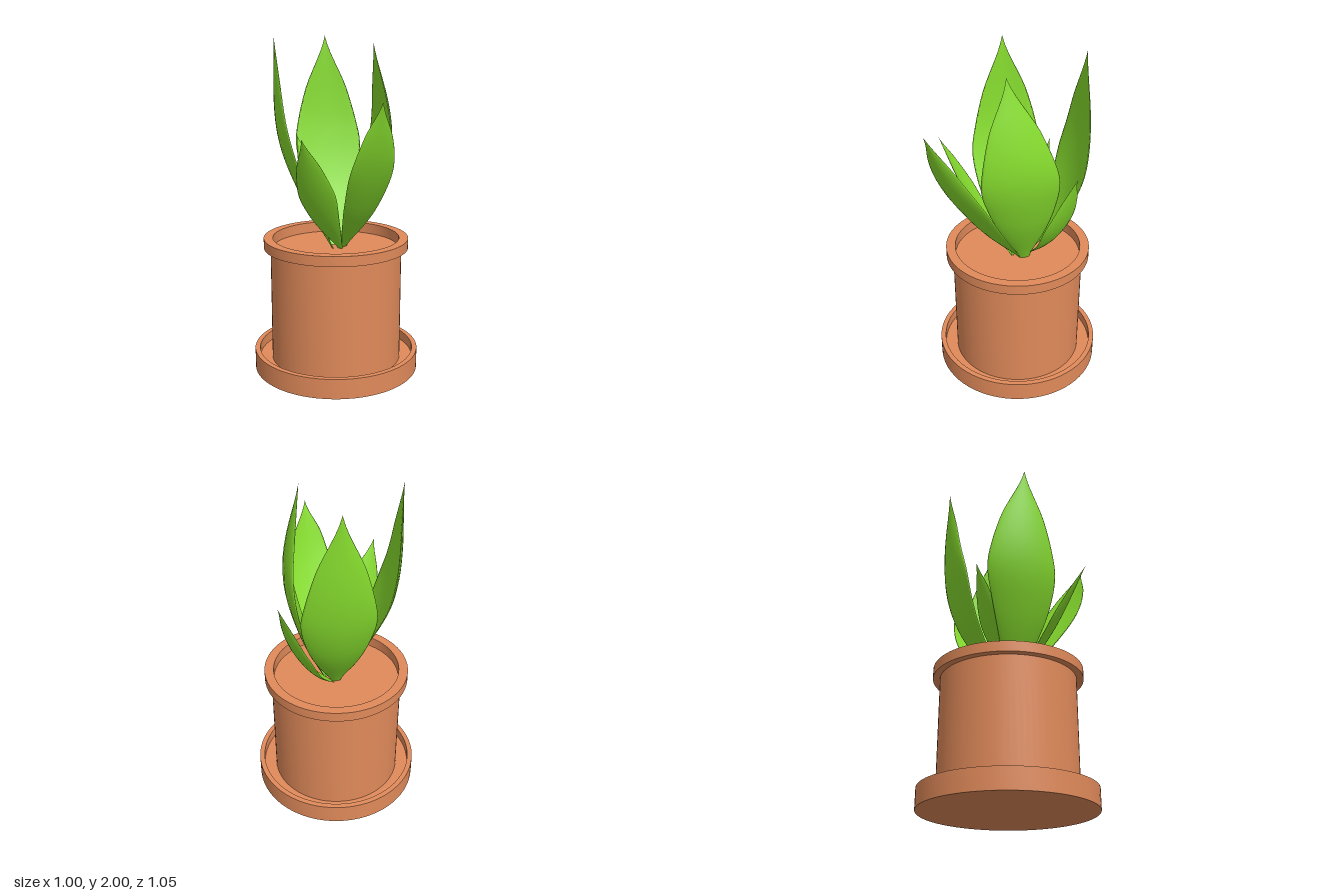
import * as THREE from 'three';
import { toCreasedNormals } from 'three/addons/utils/BufferGeometryUtils.js';

const clay = new THREE.MeshStandardMaterial({ color: 0xe08a5a });
const green = new THREE.MeshStandardMaterial({ color: 0x86dc2e, side: THREE.DoubleSide });

// Turned part from a [radius, height] profile, with crisp rims
function turned(name, profile) {
  const points = profile.map(([r, y]) => new THREE.Vector2(r, y));
  const geometry = toCreasedNormals(new THREE.LatheGeometry(points, 72), 0.6);
  const mesh = new THREE.Mesh(geometry, clay);
  mesh.name = name;
  mesh.position.z = -0.025;
  return mesh;
}

// Relative half-width of a leaf from base to tip
const outline = new THREE.SplineCurve(
  [0.14, 0.55, 0.87, 1, 0.67, 0].map((w, i) => new THREE.Vector2(i / 5, w)));

// Thin cupped leaf: lens-shaped sections swept along a curved midrib
function leaf(name, spine, halfWidth, across) {
  const curve = new THREE.CatmullRomCurve3(spine.map(p => new THREE.Vector3(...p)));
  const W = new THREE.Vector3(...across).normalize();
  const tip = spine[3], base = spine[0];
  const lean = new THREE.Vector3(tip[0] - base[0], 0, tip[2] - base[2]);
  const rows = 32, sides = 20, positions = [], index = [];
  for (let i = 0; i <= rows; i++) {
    const t = i / rows;
    const P = curve.getPoint(t);
    const N = curve.getTangent(t).cross(W).normalize();
    const outward = Math.sign(N.dot(lean)) || 1;
    const w = Math.max(0, outline.getPoint(t).y) * halfWidth;
    for (let j = 0; j < sides; j++) {
      const a = (j / sides) * Math.PI * 2;
      const u = Math.cos(a);
      const cup = outward * w * 0.15 * (0.4 - u * u);
      const q = P.clone().addScaledVector(W, w * u)
        .addScaledVector(N, cup + w * 0.07 * Math.sin(a));
      positions.push(q.x, q.y, q.z);
      if (i < rows) {
        const k = (j + 1) % sides;
        const A = i * sides + j, B = i * sides + k;
        index.push(A, B, A + sides, B, B + sides, A + sides);
      }
    }
  }
  const geometry = new THREE.BufferGeometry();
  geometry.setAttribute('position', new THREE.Float32BufferAttribute(positions, 3));
  geometry.setIndex(index);
  geometry.computeVertexNormals();
  const mesh = new THREE.Mesh(geometry, green);
  mesh.name = name;
  return mesh;
}

export function createModel() {
  const model = new THREE.Group();
  model.name = 'pottedPlant';

  // Saucer, and pot with a raised rim around the soil level
  model.add(turned('saucer', [[0, 0], [0.5, 0], [0.5, 0.12], [0.47, 0.12], [0.47, 0.06], [0, 0.06]]));
  model.add(turned('pot', [[0, 0.05], [0.395, 0.05], [0.395, 0.755], [0.435, 0.755],
    [0.435, 0.815], [0.38, 0.815], [0.38, 0.75], [0, 0.75]]));

  // Leaves: midrib points, half-width, direction across the blade
  const leaves = [
    ['frontLeaf', [[0.04, 0.75, 0], [0, 1.0, 0.21], [-0.05, 1.32, 0.4], [-0.12, 1.66, 0.53]], 0.17, [1, -0.05, -0.1]],
    ['tallLeftLeaf', [[0.07, 0.75, -0.02], [0.175, 1.1, 0.08], [0.215, 1.45, 0.15], [0.12, 1.96, 0.165]], 0.225, [0.41, 0, -0.91]],
    ['tallBackLeaf', [[0.03, 0.75, -0.07], [0.13, 1.1, -0.25], [0.17, 1.45, -0.34], [0.18, 2, -0.37]], 0.205, [0.91, 0, 0.41]],
    ['tallRightLeaf', [[-0.03, 0.75, -0.02], [-0.19, 1.1, -0.1], [-0.28, 1.45, -0.175], [-0.315, 2, -0.19]], 0.205, [0.45, 0, -0.89]],
    ['smallRightLeaf', [[0, 0.75, 0.02], [-0.16, 0.96, 0.08], [-0.28, 1.17, 0.14], [-0.42, 1.46, 0.22]], 0.105, [0.7, 0, 0.71]],
    ['smallLeftLeaf', [[0.05, 0.75, -0.07], [0.2, 0.9, -0.09], [0.31, 1.1, -0.09], [0.41, 1.4, -0.09]], 0.12, [-0.07, 0, -1]],
    ['smallBackLeaf', [[0, 0.75, 0.02], [-0.02, 0.94, -0.12], [-0.035, 1.13, -0.23], [-0.06, 1.4, -0.34]], 0.085, [1, 0, 0]],
  ];
  for (const spec of leaves) model.add(leaf(...spec));
  return model;
}
